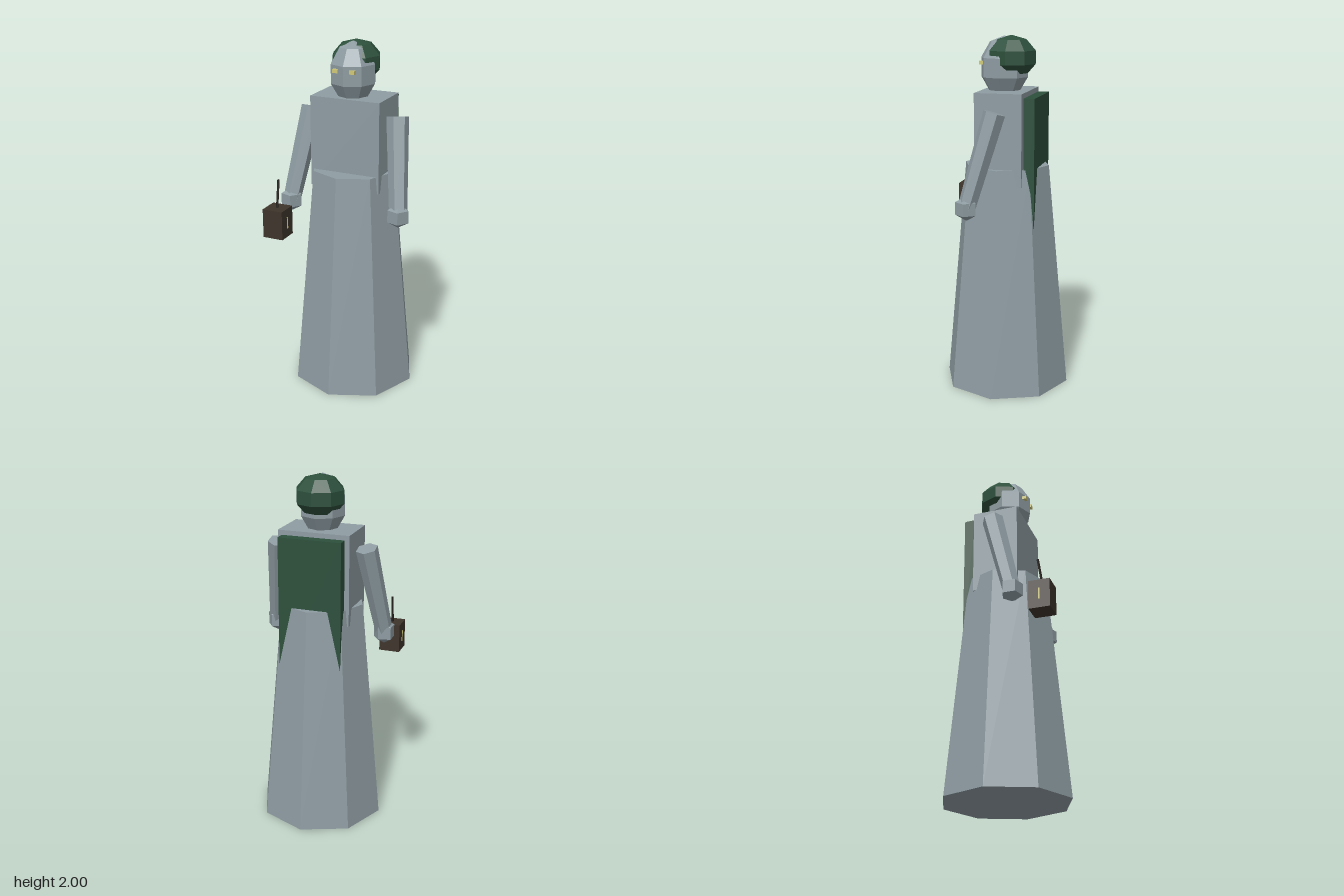
import * as THREE from 'three';

function material(name, color) {
  const m = new THREE.MeshStandardMaterial({ color, flatShading: true });
  m.name = name;
  return m;
}

export function createModel() {
  const group = new THREE.Group();
  const stone = material('stone grey', 0x8e9ca2);
  const green = material('dark green', 0x2d503c);
  const brown = material('dark brown', 0x3e342b);
  const black = material('handle black', 0x25211d);
  const yellow = material('pale yellow', 0xcfc878);

  function add(name, geometry, mat, x, y, z) {
    const mesh = new THREE.Mesh(geometry, mat);
    mesh.name = name;
    mesh.position.set(x, y, z);
    group.add(mesh);
    return mesh;
  }
  const box = (w, h, d) => new THREE.BoxGeometry(w, h, d);

  // Tapered rod between two points, a at the top and b at the bottom
  function rod(name, a, b, rTop, rBottom, sides, mat) {
    const top = new THREE.Vector3(...a), bottom = new THREE.Vector3(...b);
    const axis = top.clone().sub(bottom);
    const mid = top.clone().add(bottom).multiplyScalar(0.5);
    const geometry = new THREE.CylinderGeometry(rTop, rBottom, axis.length(), sides);
    const mesh = add(name, geometry, mat, mid.x, mid.y, mid.z);
    mesh.quaternion.setFromUnitVectors(new THREE.Vector3(0, 1, 0), axis.normalize());
    return mesh;
  }

  // Robe and torso
  add('skirt', new THREE.CylinderGeometry(0.242, 0.362, 1.285, 8), stone, 0, 0.6425, -0.007);
  add('torso', box(0.41, 0.51, 0.265), stone, 0, 1.445, -0.0075);
  add('cape', box(0.36, 0.825, 0.06), green, 0, 1.2625, -0.176);

  // Head and hair: stretched eight-sided spheres
  add('head', new THREE.SphereGeometry(1, 8, 5).scale(0.134, 0.171, 0.14), stone, 0, 1.825, 0.008);
  add('hair', new THREE.SphereGeometry(1, 8, 5).scale(0.144, 0.119, 0.144), green, 0, 1.881, -0.032);

  for (const side of [1, -1]) {
    const label = side > 0 ? 'left' : 'right';
    add(label + 'Eye', box(0.03, 0.02, 0.03), yellow, side * 0.049, 1.85, 0.122);
    // Arm leaning outward and forward, with a five-sided hand
    rod(label + 'Arm', [side * 0.258, 1.603, -0.004], [side * 0.327, 1.09, 0.135], 0.062, 0.05, 6, stone);
    const hand = new THREE.SphereGeometry(0.07, 5, 3).rotateY(Math.PI);
    add(label + 'Hand', hand, stone, side * 0.327, 1.09, 0.135);
    // Glowing slit on each side of the lantern
    add(label + 'LanternSlit', box(0.006, 0.065, 0.009), yellow, -0.327 + side * 0.06, 1.01, 0.307);
  }

  // Lantern and its upright handle
  add('lantern', box(0.12, 0.165, 0.12), brown, -0.327, 1.01, 0.307);
  rod('lanternHandle', [-0.327, 1.25, 0.285], [-0.327, 1.08, 0.311], 0.007, 0.007, 5, black);

  return group;
}
